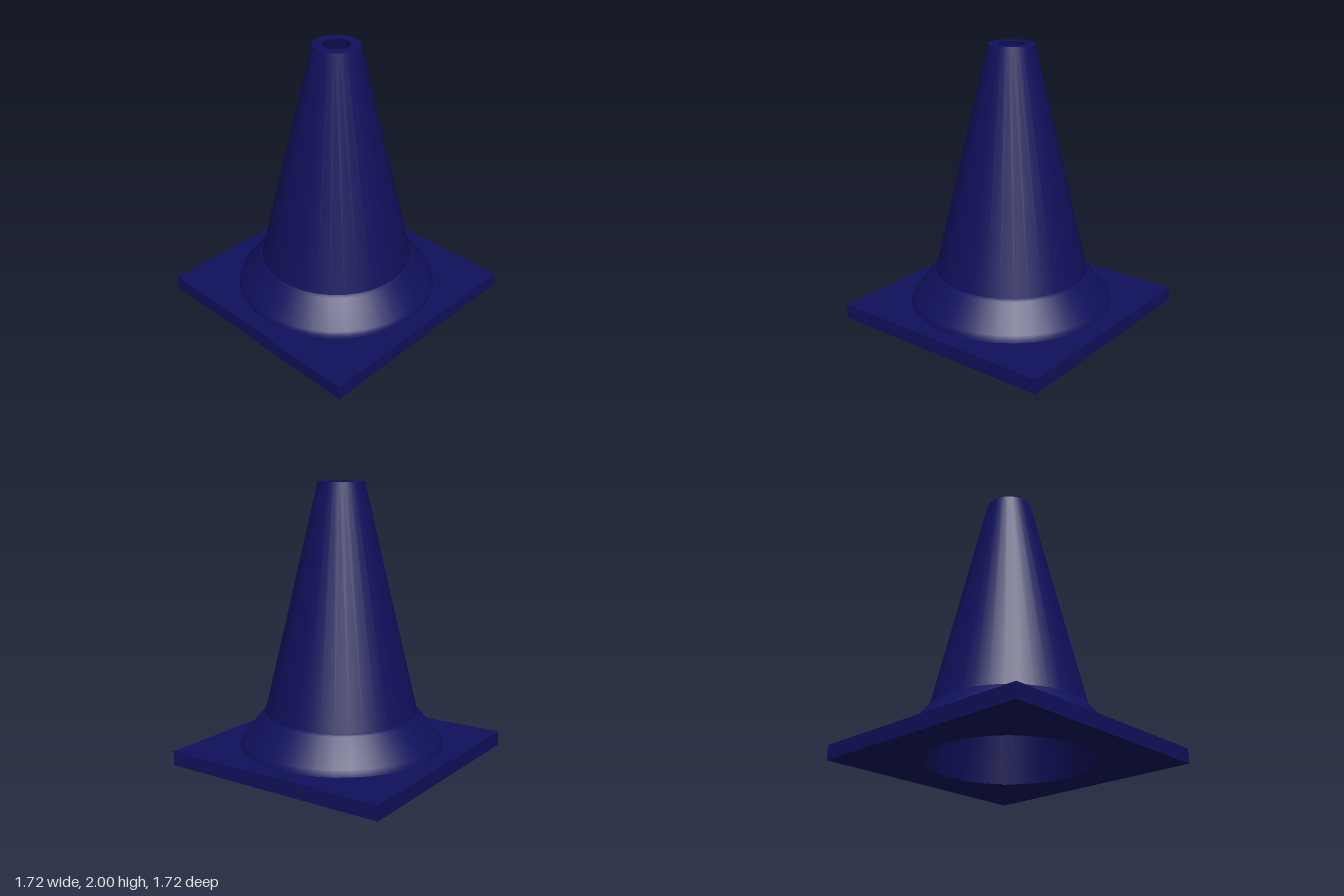
import * as THREE from 'three';

const SEGMENTS = 36;

export function createModel() {
  const group = new THREE.Group();
  const material = new THREE.MeshStandardMaterial({ color: 0x10105c });

  const add = (name, geometry) => {
    const mesh = new THREE.Mesh(geometry, material);
    mesh.name = name;
    group.add(mesh);
  };
  const lathe = (name, points) =>
    add(name, new THREE.LatheGeometry(points.map(([r, y]) => new THREE.Vector2(r, y)), SEGMENTS));

  // Square base plate with a round opening underneath
  const half = 0.86, thickness = 0.105, openingRadius = 0.573;
  const square = new THREE.Shape([
    new THREE.Vector2(-half, -half), new THREE.Vector2(half, -half),
    new THREE.Vector2(half, half), new THREE.Vector2(-half, half),
  ]);
  square.holes.push(new THREE.Path().absarc(0, 0, openingRadius, 0, Math.PI * 2, true));
  const plate = new THREE.ExtrudeGeometry(square, {
    depth: thickness, bevelEnabled: false, curveSegments: SEGMENTS,
  });
  plate.rotateX(-Math.PI / 2);
  add('basePlate', plate);

  // Sloping collar where the cone meets the plate
  lathe('collar', [[0.74, thickness], [0.735, 0.125], [0.722, 0.152], [0.578, 0.332], [0.555, 0.345]]);

  // Hollow cone: outer wall, flat rim, inner wall
  lathe('coneOuterWall', [[0.558, 0.335], [0.165, 2]]);
  lathe('coneRim', [[0.165, 2], [0.095, 2]]);
  lathe('coneInnerWall', [[0.095, 2], [openingRadius, 0]]);

  return group;
}
